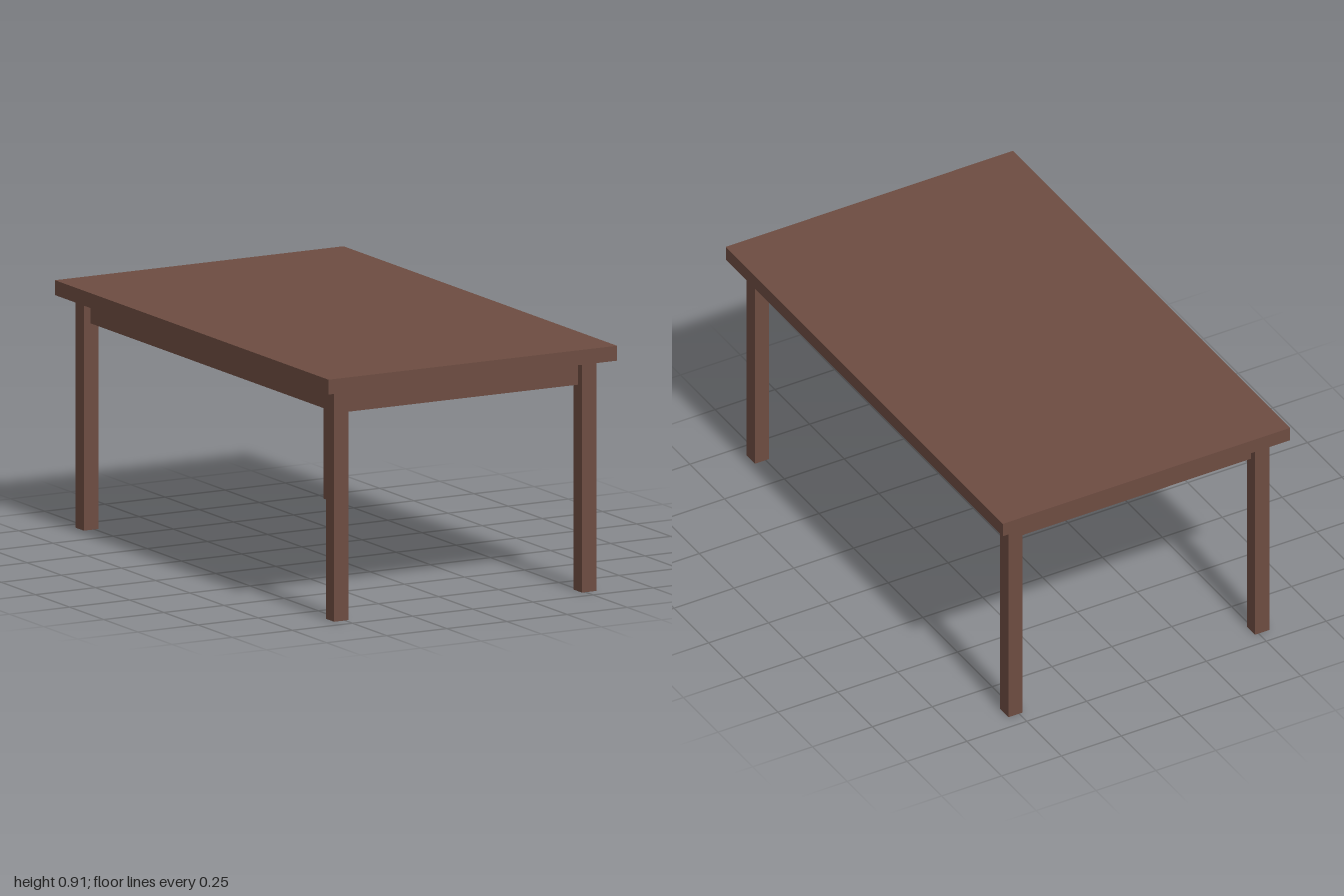
import * as THREE from 'three';

const wood = new THREE.MeshStandardMaterial({ color: 0x6d4c41 });
const metal = new THREE.MeshStandardMaterial({ color: 0xcccccc });

// Box given by its min and max on each axis
function box(parent, name, x, y, z) {
  const mesh = new THREE.Mesh(new THREE.BoxGeometry(x[1] - x[0], y[1] - y[0], z[1] - z[0]), wood);
  mesh.position.set((x[0] + x[1]) / 2, (y[0] + y[1]) / 2, (z[0] + z[1]) / 2);
  mesh.name = name;
  parent.add(mesh);
}

const span = (s, a, b) => (s > 0 ? [a, b] : [-b, -a]);

// Diagonal block joining two aprons, with two screws on its inner face
function cornerBrace(sx, sz) {
  const group = new THREE.Group();
  group.name = 'cornerBrace';
  const inX = 0.485, inZ = 0.885, reach = 0.14, back = 0.08;
  const outline = [[inX, inZ - reach], [inX, inZ - back], [inX - back, inZ], [inX - reach, inZ]];
  const shape = new THREE.Shape(outline.map(([x, z]) => new THREE.Vector2(sx * x, sz * z)));
  const geometry = new THREE.ExtrudeGeometry(shape, { depth: 0.055, bevelEnabled: false });
  geometry.rotateX(Math.PI / 2);
  const block = new THREE.Mesh(geometry, wood);
  block.name = 'braceBlock';
  block.position.y = 0.835;
  group.add(block);

  const inward = new THREE.Vector3(-sx, 0, -sz).normalize();
  for (const t of [0.14, 0.86]) {
    const screw = new THREE.Mesh(new THREE.CylinderGeometry(0.011, 0.011, 0.008, 16), metal);
    screw.name = 'screw';
    screw.quaternion.setFromUnitVectors(new THREE.Vector3(0, 1, 0), inward);
    screw.position.set(sx * (inX - reach * t), 0.808, sz * (inZ - reach * (1 - t)));
    group.add(screw);
  }
  return group;
}

export function createModel() {
  const table = new THREE.Group();
  table.name = 'table';
  box(table, 'tableTop', [-0.6, 0.6], [0.855, 0.91], [-1, 1]);

  for (const s of [-1, 1]) {
    // Aprons, set back from the outer leg faces
    box(table, 'endApron', [-0.485, 0.485], [0.763, 0.855], span(s, 0.885, 0.917));
    box(table, 'sideApron', span(s, 0.485, 0.517), [0.763, 0.855], [-0.885, 0.885]);
    // Cleat under the top along each long apron
    box(table, 'cleat', span(s, 0.455, 0.485), [0.83, 0.855], [-0.48, 0.48]);
    for (const t of [-1, 1]) {
      box(table, 'leg', span(s, 0.485, 0.545), [0, 0.855], span(t, 0.885, 0.945));
      table.add(cornerBrace(s, t));
    }
  }
  return table;
}
